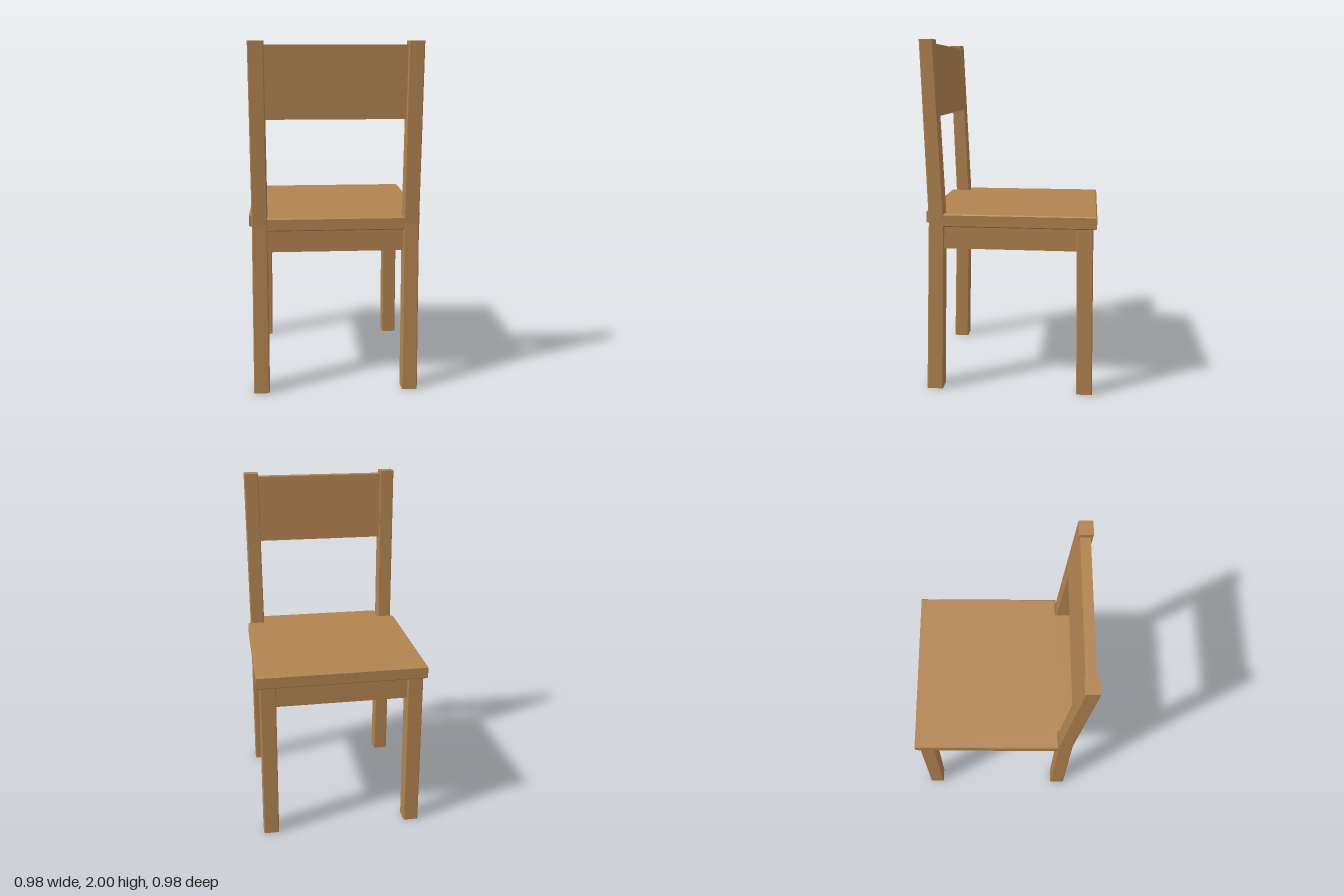
import * as THREE from 'three';

const wood = new THREE.MeshStandardMaterial({ color: 0xb28350 });
wood.name = 'wood';

// Solid bar through rectangular sections [y, x0, x1, z0, z1] with chamfered long edges
function bar(name, sections, c = 0.005) {
  const rings = sections.map(([y, x0, x1, z0, z1]) => [
    [x1, z1 - c], [x1, z0 + c], [x1 - c, z0], [x0 + c, z0],
    [x0, z0 + c], [x0, z1 - c], [x0 + c, z1], [x1 - c, z1],
  ].map(([x, z]) => [x, y, z]));
  const pos = [];
  const tri = (...pts) => pts.forEach((p) => pos.push(...p));
  for (let s = 0; s < rings.length - 1; s++) {
    for (let i = 0; i < 8; i++) {
      const j = (i + 1) % 8, lo = rings[s], hi = rings[s + 1];
      tri(lo[i], lo[j], hi[j]);
      tri(lo[i], hi[j], hi[i]);
    }
  }
  const bottom = rings[0], top = rings[rings.length - 1];
  for (let i = 1; i < 7; i++) {
    tri(bottom[0], bottom[i + 1], bottom[i]);
    tri(top[0], top[i], top[i + 1]);
  }
  const geo = new THREE.BufferGeometry();
  geo.setAttribute('position', new THREE.Float32BufferAttribute(pos, 3));
  geo.computeVertexNormals();
  const mesh = new THREE.Mesh(geo, wood);
  mesh.name = name;
  return mesh;
}

// Seat board with its two rear corners notched around the back posts
function makeSeat() {
  const b = 0.006, w = 0.488, n = 0.383, notchZ = 0.369;
  const outline = [[-w, -w], [w, -w], [w, notchZ], [n, notchZ], [n, w], [-n, w], [-n, notchZ], [-w, notchZ]];
  const shape = new THREE.Shape(outline.map(([x, z]) => new THREE.Vector2(x, z)));
  const geo = new THREE.ExtrudeGeometry(shape, {
    depth: 0.073 - 2 * b, bevelThickness: b, bevelSize: b, bevelOffset: -b, bevelSegments: 1,
  });
  geo.rotateX(Math.PI / 2).translate(0, 1.045 - b, 0);
  const mesh = new THREE.Mesh(geo, wood);
  mesh.name = 'seat';
  return mesh;
}

export function createModel() {
  const chair = new THREE.Group();
  chair.name = 'chair';
  chair.add(makeSeat());

  for (const [side, s] of [['left', 1], ['right', -1]]) {
    const mirror = (rows) => rows.map(([y, x0, x1, z0, z1]) => (s > 0 ? [y, x0, x1, z0, z1] : [y, -x1, -x0, z0, z1]));
    // Back post: splayed leg below the seat, leaning backrest support above it
    chair.add(bar(side + 'BackPost', mirror([
      [0, 0.388, 0.478, 0.392, 0.485],
      [1.0, 0.383, 0.469, 0.369, 0.456],
      [2, 0.383, 0.469, 0.411, 0.488],
    ])));
    // Splayed leg under the far edge of the seat
    chair.add(bar(side + 'FrontLeg', mirror([
      [0, 0.388, 0.478, -0.478, -0.388],
      [0.973, 0.378, 0.468, -0.468, -0.376],
    ])));
    // Side apron
    chair.add(bar(side + 'Apron', mirror([
      [0.842, 0.405, 0.455, -0.385, 0.385],
      [0.973, 0.405, 0.455, -0.385, 0.385],
    ]), 0.002));
  }

  // Aprons along the two other edges
  for (const [name, z] of [['rearApron', 0.42], ['frontApron', -0.43]]) {
    chair.add(bar(name, [
      [0.842, -0.39, 0.39, z - 0.025, z + 0.025],
      [0.973, -0.39, 0.39, z - 0.025, z + 0.025],
    ], 0.002));
  }

  // Wide leaning back board between the posts
  chair.add(bar('backrest', [
    [1.585, -0.385, 0.385, 0.396, 0.452],
    [1.98, -0.385, 0.385, 0.419, 0.474],
  ], 0.002));
  return chair;
}
